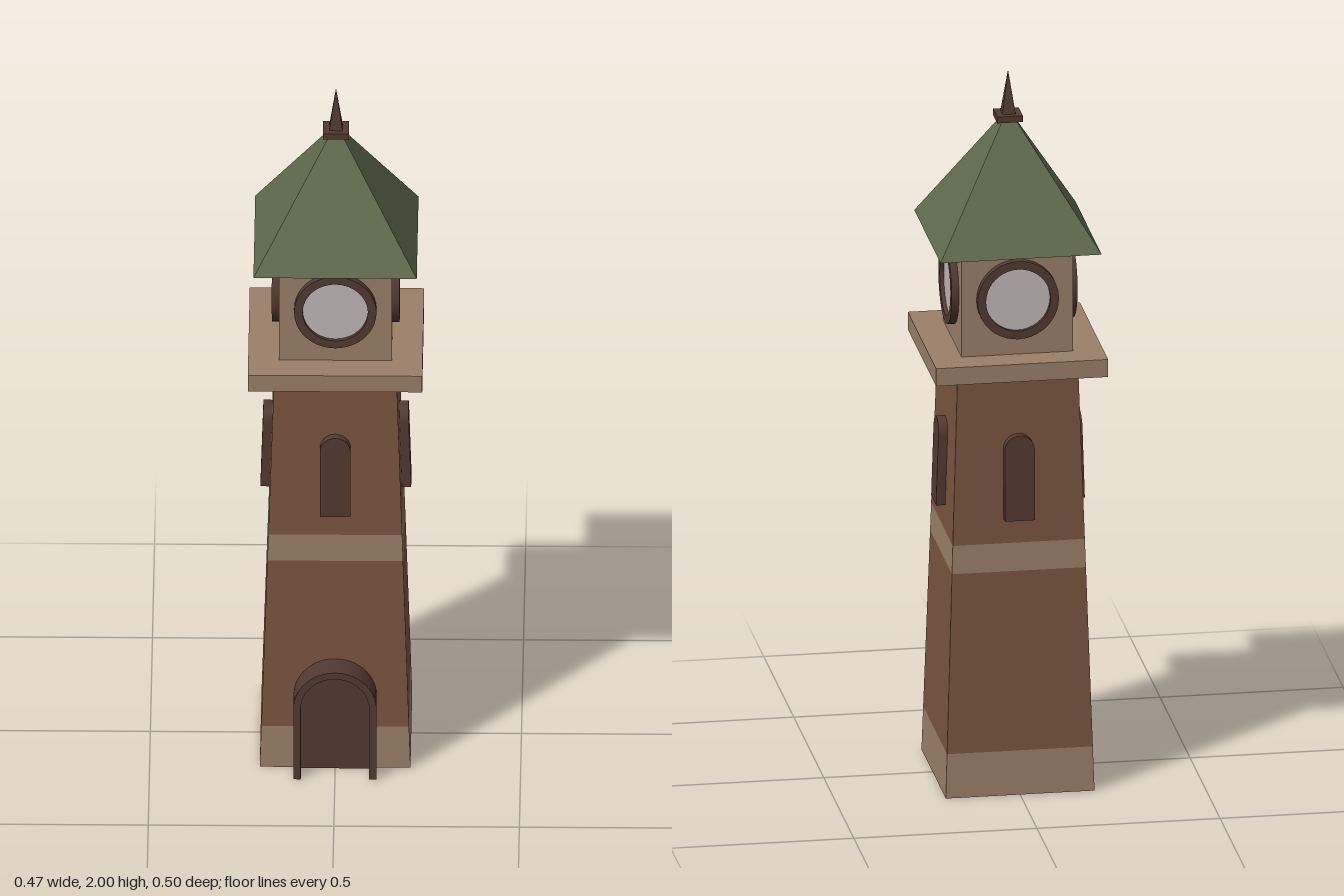
import * as THREE from 'three';
import { toCreasedNormals } from 'three/addons/utils/BufferGeometryUtils.js';

const mat = (name, color) => {
  const m = new THREE.MeshStandardMaterial({ color });
  m.name = name;
  return m;
};

export function createModel() {
  const brick = mat('brick', 0x7a563f);
  const stone = mat('stone', 0x9a8068);
  const wood = mat('darkWood', 0x523a31);
  const green = mat('roofGreen', 0x5f6a4c);
  const dial = mat('dial', 0xc2b9ba);

  const root = new THREE.Group();
  root.name = 'clockTower';
  const tower = new THREE.Group();
  tower.name = 'tower';
  tower.position.z = -0.018;
  root.add(tower);

  const add = (parent, name, geometry, material) => {
    const mesh = new THREE.Mesh(geometry, material);
    mesh.name = name;
    parent.add(mesh);
    return mesh;
  };

  // Square block or pyramid between two heights, given half widths
  const block = (name, y0, y1, half0, half1, material) => {
    let g = new THREE.CylinderGeometry(half1 * Math.SQRT2, half0 * Math.SQRT2, y1 - y0, 4);
    g.rotateY(Math.PI / 4);
    g.translate(0, (y0 + y1) / 2, 0);
    g = g.toNonIndexed();
    g.computeVertexNormals();
    return add(tower, name, g, material);
  };

  // Round-topped outline standing on y = 0
  const arch = (half, height, Type = THREE.Shape) => {
    const s = new Type();
    s.moveTo(-half, 0);
    s.lineTo(half, 0);
    s.lineTo(half, height - half);
    s.absarc(0, height - half, half, 0, Math.PI, false);
    s.lineTo(-half, 0);
    return s;
  };

  const extrude = (shape, depth, curveSegments = 16) => toCreasedNormals(
    new THREE.ExtrudeGeometry(shape, { depth, bevelEnabled: false, curveSegments }), 0.6);

  // Tapered shaft with flush stone bands
  const BASE = 0.203, TOP = 0.165, SHAFT = 1.19;
  const wall = (y) => BASE + (TOP - BASE) * y / SHAFT;
  const section = (name, y0, y1, m) => block(name, y0, y1, wall(y0), wall(y1), m);
  section('baseBand', 0, 0.125, [stone, stone, brick]);
  section('lowerShaft', 0.125, 0.632, brick);
  section('middleBand', 0.632, 0.712, stone);
  section('upperShaft', 0.712, SHAFT, brick);

  // Ledge, clock room, roof and finial
  block('ledge', SHAFT, 1.24, 0.235, 0.235, stone);
  block('clockRoom', 1.24, 1.537, 0.152, 0.152, stone);
  block('roof', 1.535, 1.89, 0.22, 0, green);
  block('finialCap', 1.86, 1.878, 0.035, 0.035, wood);
  block('spire', 1.878, 2, 0.018, 0, wood);

  // A clock and an arched window on each of the four sides
  const ringShape = new THREE.Shape().absarc(0, 0, 0.111, 0, Math.PI * 2, false);
  ringShape.holes.push(new THREE.Path().absarc(0, 0, 0.088, 0, Math.PI * 2, true));
  const ringGeo = extrude(ringShape, 0.03, 20);
  const dialGeo = new THREE.CircleGeometry(0.092, 40);
  const windowGeo = extrude(arch(0.041, 0.24), 0.035);
  ['front', 'left', 'back', 'right'].forEach((side, i) => {
    const face = new THREE.Group();
    face.name = side + 'Details';
    face.rotation.y = i * Math.PI / 2;
    tower.add(face);
    add(face, 'clockRing', ringGeo, wood).position.set(0, 1.4, 0.142);
    add(face, 'clockDial', dialGeo, dial).position.set(0, 1.4, 0.161);
    const win = add(face, 'window', windowGeo, wood);
    win.position.set(0, 0.78, wall(0.78) - 0.01);
    win.rotation.x = -Math.atan((BASE - TOP) / SHAFT);
  });

  // Front doorway: deep arched frame with a door set back inside
  const frame = arch(0.112, 0.332);
  // Notch the frame open at the ground
  const open = new THREE.Shape();
  open.moveTo(0.092, 0);
  open.lineTo(0.112, 0);
  open.lineTo(0.112, 0.22);
  open.absarc(0, 0.22, 0.112, 0, Math.PI, false);
  open.lineTo(-0.112, 0);
  open.lineTo(-0.092, 0);
  open.lineTo(-0.092, 0.22);
  open.absarc(0, 0.22, 0.092, Math.PI, 0, true);
  add(root, 'doorFrame', extrude(open, 0.09), wood).position.z = 0.161;
  add(root, 'door', extrude(arch(0.093, 0.313), 0.03), wood).position.z = 0.161;

  return root;
}
